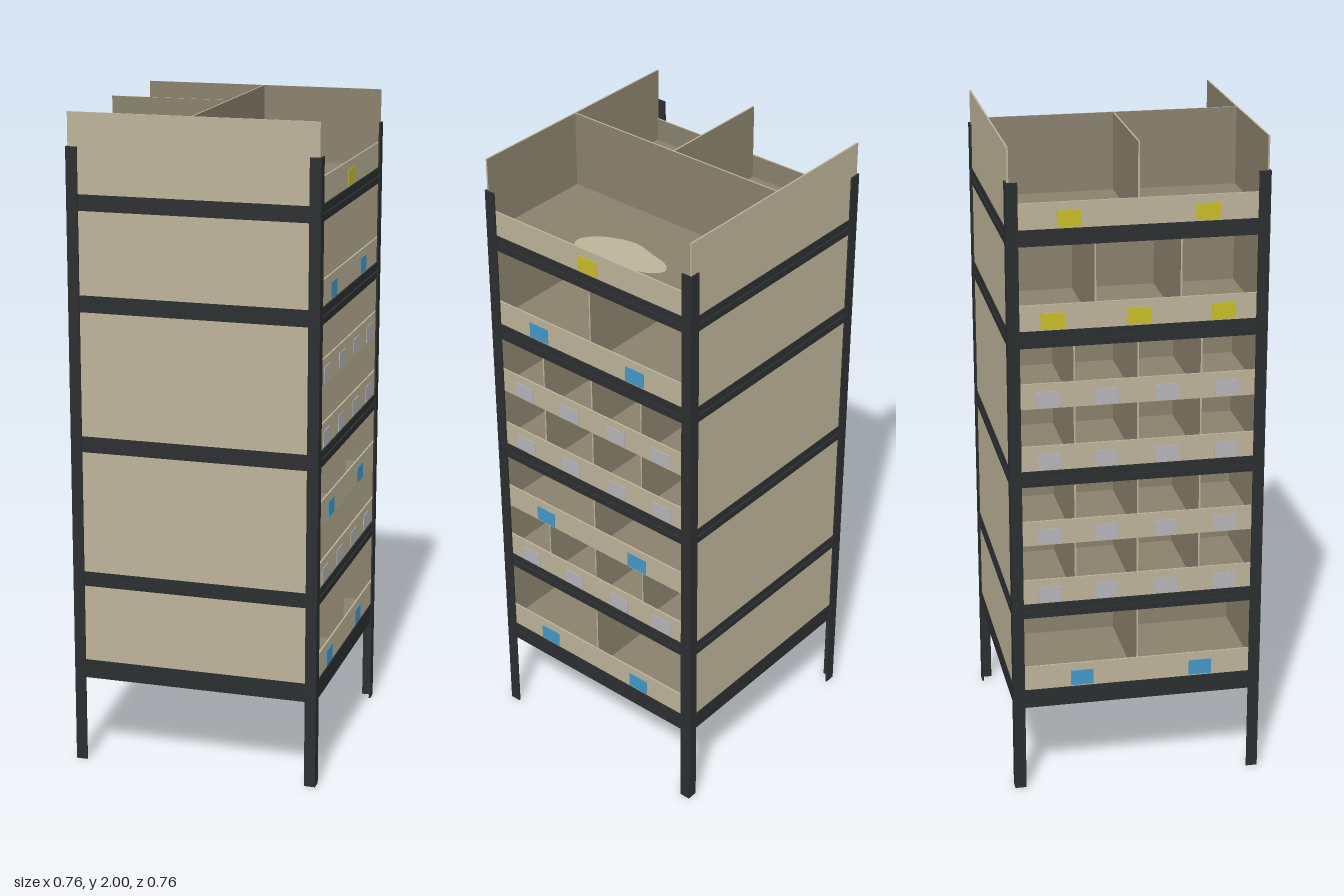
import * as THREE from 'three';

const material = (name, color) => Object.assign(new THREE.MeshStandardMaterial({ color }), { name });

export function createModel() {
  const model = new THREE.Group();
  model.name = 'storageRack';
  const steel = material('darkSteel', 0x2b2e2f);
  const card = material('cardboard', 0xbcb399);
  const inner = material('cardboardInside', 0x8a816d);
  const labelColors = {
    blue: material('blueLabel', 0x4499c8),
    grey: material('greyLabel', 0xb4b4ba),
    yellow: material('yellowLabel', 0xc8be28),
  };
  const H = 0.375; // half width of the cartons
  const T = 0.005; // sheet thickness

  function box(name, w, h, d, x, y, z, mat, parent = model) {
    const mesh = new THREE.Mesh(new THREE.BoxGeometry(w, h, d), mat);
    mesh.name = name;
    mesh.position.set(x, y, z);
    parent.add(mesh);
    return mesh;
  }

  // Cardboard sheet: light edges, with the listed faces (px nx py ny pz nz) in the inside colour
  const sheet = (...darkFaces) => [0, 1, 2, 3, 4, 5].map((i) => (darkFaces.includes(i) ? inner : card));

  // Four angle-section posts
  for (const sx of [-1, 1]) {
    for (const sz of [-1, 1]) {
      const post = new THREE.Group();
      post.name = 'cornerPost';
      model.add(post);
      box('postFlangeFront', 0.034, 1.9, T, sx * 0.363, 0.95, sz * 0.3778, steel, post);
      box('postFlangeSide', T, 1.9, 0.034, sx * 0.3778, 0.95, sz * 0.363, steel, post);
    }
  }

  // Base tray and grooved shelves
  box('baseShelf', 0.754, 0.058, 0.754, 0, 0.299, 0, steel);
  for (const [low, high] of [[0.567, 0.612], [0.988, 1.036], [1.414, 1.464], [1.714, 1.762]]) {
    const shelf = new THREE.Group();
    shelf.name = 'shelf';
    model.add(shelf);
    const mid = (low + high) / 2;
    const rail = (high - low) * 0.42;
    box('shelfCore', 0.744, high - low - 0.004, 0.744, 0, mid, 0, steel, shelf);
    for (const y of [low + rail / 2, high - rail / 2]) {
      for (const s of [-1, 1]) {
        box('shelfRailFront', 0.756, rail, 0.008, 0, y, s * 0.374, steel, shelf);
        box('shelfRailSide', 0.008, rail, 0.756, s * 0.374, y, 0, steel, shelf);
      }
    }
  }

  // One side of a row of bins: lip, floor, dividers and labels
  function binSide(parent, side, y0, y1, count, labelZs, color) {
    const group = new THREE.Group();
    group.name = side > 0 ? 'leftBins' : 'rightBins';
    parent.add(group);
    box('binLip', T, 0.077, 2 * H - 0.004, side * 0.371, y0 + 0.0385, 0, sheet(side > 0 ? 1 : 0), group);
    box('binFloor', H - 0.004, T, 2 * H - 0.006, side * (H - 0.004) / 2, y0 + T / 2, 0, sheet(2), group);
    for (let i = 1; i < count; i++) {
      const z = -H + (2 * H * i) / count;
      box('binDivider', H - 0.006, y1 - y0 - 0.002, T, side * (H - 0.006) / 2, (y0 + y1) / 2, z, sheet(4, 5), group);
    }
    for (const z of labelZs) {
      box('binLabel', 0.002, 0.048, 0.07, side * 0.3746, y0 + 0.028, z, labelColors[color], group);
    }
  }

  // Carton tiers from bottom to top; left and right each list bin count, label positions, label colour
  const four = [4, [0.265, 0.085, -0.095, -0.265], 'grey'];
  const two = [2, [0.195, -0.17], 'blue'];
  const tiers = [
    { y: [0.328, 0.567], rows: [[0.328, 0.567, two, two]] },
    { y: [0.612, 0.988], rows: [[0.612, 0.8, four, four], [0.8, 0.988, two, four]] },
    { y: [1.036, 1.414], rows: [[1.036, 1.228, four, four], [1.228, 1.414, four, four]] },
    { y: [1.464, 1.714], rows: [[1.464, 1.714, two, [3, [0.25, 0, -0.25], 'yellow']]] },
    { y: [1.762, 2], rows: [[1.762, 2, [1, [0], 'yellow'], [2, [0.2, -0.2], 'yellow']]] },
  ];
  for (const { y: [y0, y1], rows } of tiers) {
    const tier = new THREE.Group();
    tier.name = 'cartonTier';
    model.add(tier);
    const h = y1 - y0;
    const mid = (y0 + y1) / 2;
    box('frontPanel', 2 * H, h, T, 0, mid, 0.3725, sheet(5), tier);
    box('backPanel', 2 * H, h, T, 0, mid, -0.3725, sheet(4), tier);
    box('centrePanel', T, h, 2 * H - 0.01, 0, mid, 0, sheet(0, 1), tier);
    for (const [a, b, left, right] of rows) {
      binSide(tier, 1, a, b, ...left);
      binSide(tier, -1, a, b, ...right);
    }
  }

  // Pale patch on the open top bin's floor
  const outline = [[0.23, 0.16], [0.265, 0.13], [0.285, 0.05], [0.292, -0.03], [0.28, -0.13],
    [0.25, -0.147], [0.215, -0.13], [0.18, -0.08], [0.16, 0], [0.178, 0.07], [0.2, 0.14]];
  const curve = new THREE.CatmullRomCurve3(outline.map(([x, y]) => new THREE.Vector3(x, y, 0)), true);
  const shape = new THREE.Shape(curve.getPoints(44).map((p) => new THREE.Vector2(p.x, p.y)));
  const patch = new THREE.Mesh(new THREE.ShapeGeometry(shape), card);
  patch.name = 'floorPatch';
  patch.rotation.x = -Math.PI / 2;
  patch.position.y = 1.762 + T + 0.001;
  model.add(patch);

  return model;
}
